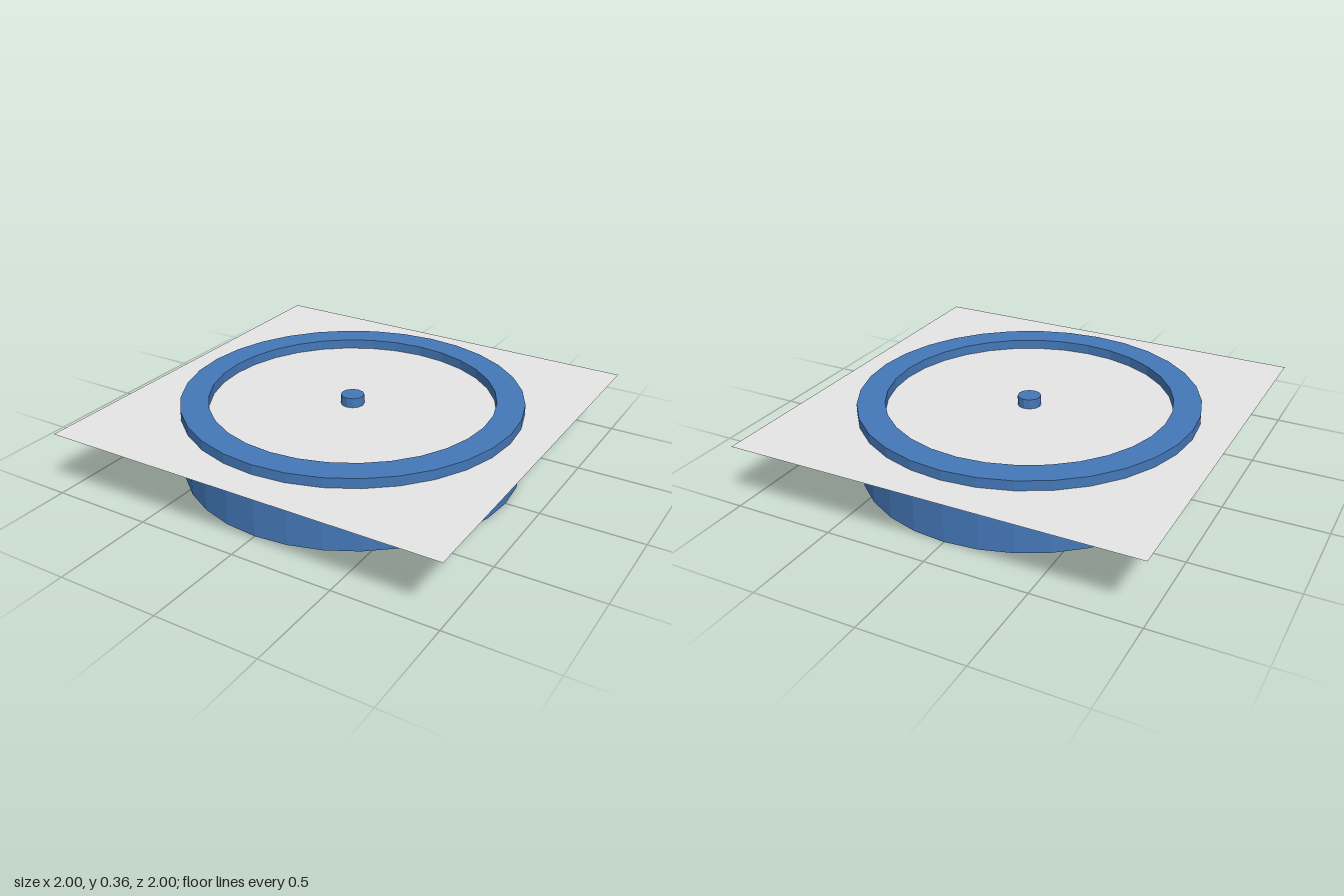
import * as THREE from 'three';

export function createModel() {
  const model = new THREE.Group();
  const blue = new THREE.MeshStandardMaterial({ color: 0x4478b8, flatShading: true });
  blue.name = 'blue basin';
  const paleGrey = new THREE.MeshStandardMaterial({ color: 0xe6e6e6, side: THREE.DoubleSide });
  paleGrey.name = 'pale grey surface';

  const height = 0.36, outer = 0.832, inner = 0.697, floor = 0.07;

  const add = (name, geometry, material, y = 0) => {
    const mesh = new THREE.Mesh(geometry, material);
    mesh.name = name;
    mesh.position.y = y;
    model.add(mesh);
    return mesh;
  };

  // Round basin: underside, outer wall, rim, inner wall and floor
  const profile = [
    [0, 0], [outer, 0], [outer, height], [inner, height], [inner, floor], [0, floor],
  ].map(([r, y]) => new THREE.Vector2(r, y));
  add('basin', new THREE.LatheGeometry(profile, 32), blue);

  // Central post rising from the floor to rim level
  const postHeight = height - floor;
  add('centrePost', new THREE.CylinderGeometry(0.057, 0.057, postHeight, 12), blue, floor + postHeight / 2);

  // Flat square sheet lying just below the rim
  add('waterSurface', new THREE.PlaneGeometry(2, 2).rotateX(-Math.PI / 2), paleGrey, 0.312);

  return model;
}
